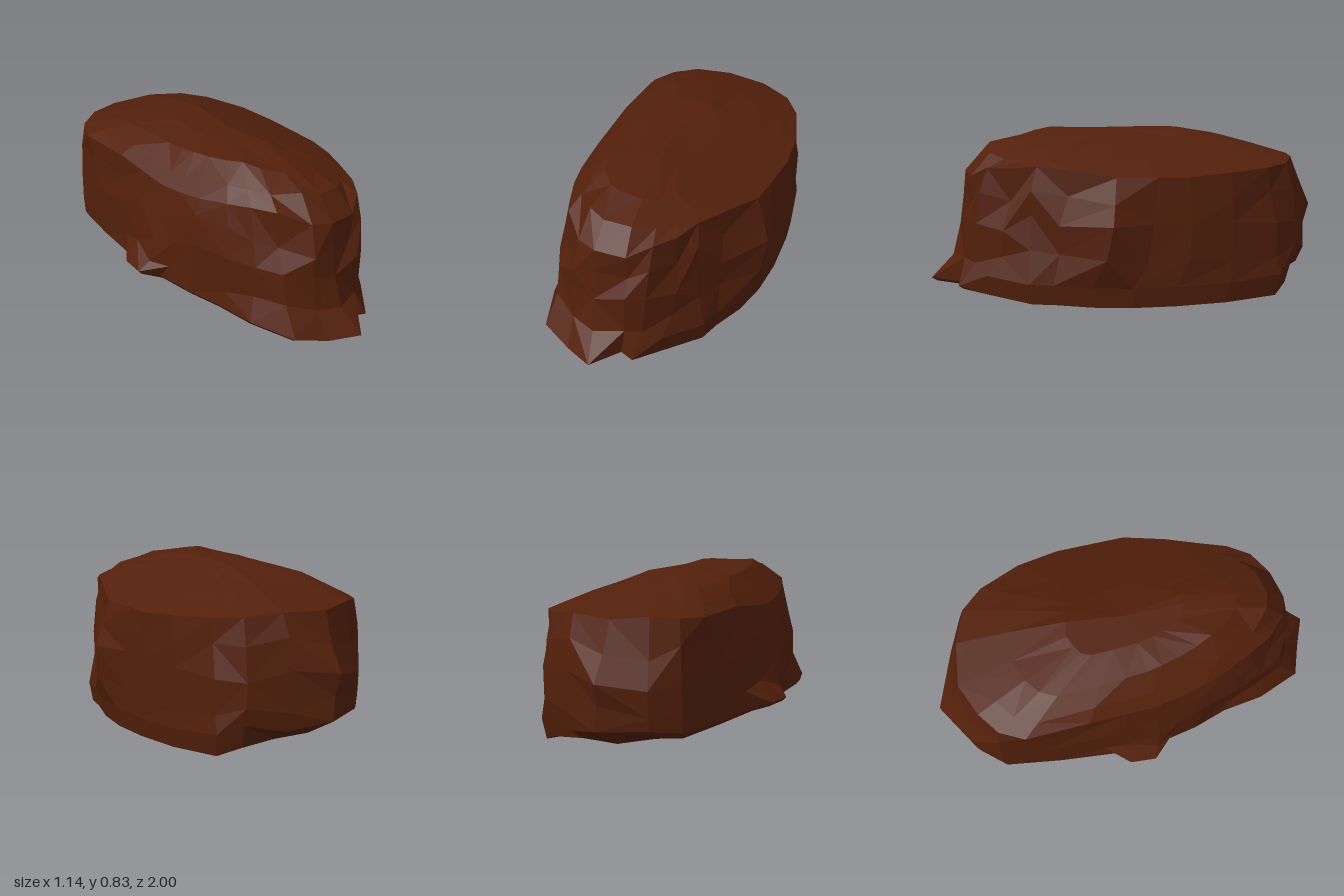
import * as THREE from 'three';

// Outlines as [x, z] pairs, running front -> left (+x) -> back -> right (-x)
const rim = [[0, .82], [.15, .79], [.25, .71], [.32, .6], [.36, .47], [.43, .3], [.5, .1], [.5, -.1], [.5, -.25], [.46, -.46], [.37, -.67], [.27, -.78],
  [.1, -.84], [-.12, -.87], [-.29, -.8], [-.4, -.72], [-.46, -.6], [-.45, -.28], [-.44, -.1], [-.43, .06], [-.41, .17], [-.38, .3],
  [-.33, .45], [-.28, .56], [-.22, .68], [-.1, .79]];
const waist = [[0, .85], [.16, .83], [.24, .77], [.33, .64], [.37, .5], [.44, .37], [.57, .12], [.51, -.08], [.5, -.27], [.46, -.48], [.38, -.71], [.28, -.83],
  [.08, -.91], [-.12, -1], [-.32, -.87], [-.42, -.74], [-.46, -.5], [-.47, -.25], [-.48, -.1], [-.49, .06], [-.46, .17], [-.43, .3],
  [-.37, .5], [-.31, .64], [-.24, .76], [-.12, .83]];
const foot = [[.05, 1], [.14, .84], [.21, .86], [.3, .72], [.42, .52], [.44, .4], [.49, .22], [.51, .02], [.5, -.2], [.46, -.46], [.38, -.73], [.28, -.81],
  [.1, -.88], [-.1, -.97], [-.32, -.85], [-.42, -.73], [-.46, -.45], [-.49, -.16], [-.56, -.1], [-.57, .03], [-.48, .09], [-.44, .28],
  [-.38, .45], [-.35, .66], [-.26, .88], [-.1, .94]];
// The underside stops short of the overhanging back
const base = foot.map(([x, z]) => [x * 0.97, Math.max(z * 0.97, -0.78)]);
const N = rim.length;

let seed = 11;
const jitter = (a) => {
  seed = (seed * 16807) % 2147483647;
  return (seed / 2147483647 - 0.5) * 2 * a;
};
const mix = THREE.MathUtils.lerp;

// Height of the domed top, with a bevel over the front right corner
const topY = (x, z) => {
  const side = Math.max(0, 0.42 * (x - 0.04), 0.27 * (-0.2 - x) + 0.3 * Math.max(0, -0.27 - x));
  const front = Math.max(0, 0.22 * (z - 0.4)) + 0.9 * Math.max(0, z - 0.7);
  const back = Math.max(0, 0.28 * (-0.35 - z));
  const bevel = 0.18 * Math.max(0, z - 3 * x - 0.95);
  return 0.83 - Math.hypot(side, back) - front - bevel;
};
// Height of the tilted underside
const bottomY = (x, z) =>
  (x < -0.1 ? 0.035 + 0.31 * (-0.1 - x) : 0.045 - 0.12 * Math.max(0, x - 0.15))
  + 0.45 * Math.max(0, -z - 0.7) + 0.05 * Math.max(0, z - 0.5);

const scaled = (outline, s, height) => outline.map(([x, z]) => {
  const px = x * s, pz = z * s;
  return [px, height(px, pz), pz];
});

// Ring between two rings, chipped in and out; t sets its outline, h its height
const chipped = (a, b, t, h) => a.map((p, i) => {
  const q = b[i], front = p[2] > 0.4;
  const k = front ? 1.005 + jitter(0.04) : 0.99 + jitter(0.02);
  return [mix(p[0], q[0], t) * k, mix(p[1], q[1], h) + jitter(0.035), mix(p[2], q[2], t) * k];
});

export function createModel() {
  const rimRing = scaled(rim, 1, topY);
  const waistRing = waist.map(([x, z], i) => [x, i === 6 || i === 13 ? 0.41 : 0.41 + jitter(0.05), z]);
  const footRing = foot.map(([x, z]) => {
    const lift = x > 0.25 ? 0.1 : 0.015;
    return [x, bottomY(x, z) + lift, z];
  });
  const rings = [
    ...[0, 0.35, 0.68, 0.88].map((s) => scaled(rim, s, topY)),
    rimRing, chipped(rimRing, waistRing, 0.5, 0.5),
    waistRing, chipped(waistRing, footRing, 0.3, 0.6), footRing,
    ...[1, 0.5, 0].map((s) => scaled(base, s, bottomY)),
  ];

  // Skin the rings, turning the diagonals at random for a broken surface
  const index = [];
  for (let r = 0; r < rings.length - 1; r++) {
    for (let i = 0; i < N; i++) {
      const j = (i + 1) % N;
      const a = r * N + i, b = r * N + j, c = a + N, d = b + N;
      if (r === 0) index.push(a, c, d);
      else if (r === rings.length - 2) index.push(a, c, b);
      else if (jitter(1) > 0) index.push(c, d, b, c, b, a);
      else index.push(c, d, a, d, b, a);
    }
  }
  const geometry = new THREE.BufferGeometry();
  geometry.setAttribute('position', new THREE.Float32BufferAttribute(rings.flat(2), 3));
  geometry.setIndex(index);
  const faceted = geometry.toNonIndexed();
  faceted.computeVertexNormals();

  const material = new THREE.MeshStandardMaterial({ color: 0x53200b, flatShading: true });
  material.name = 'reddish brown rock';
  const rock = new THREE.Mesh(faceted, material);
  rock.name = 'rock';
  const group = new THREE.Group();
  group.name = 'boulder';
  group.add(rock);
  return group;
}
